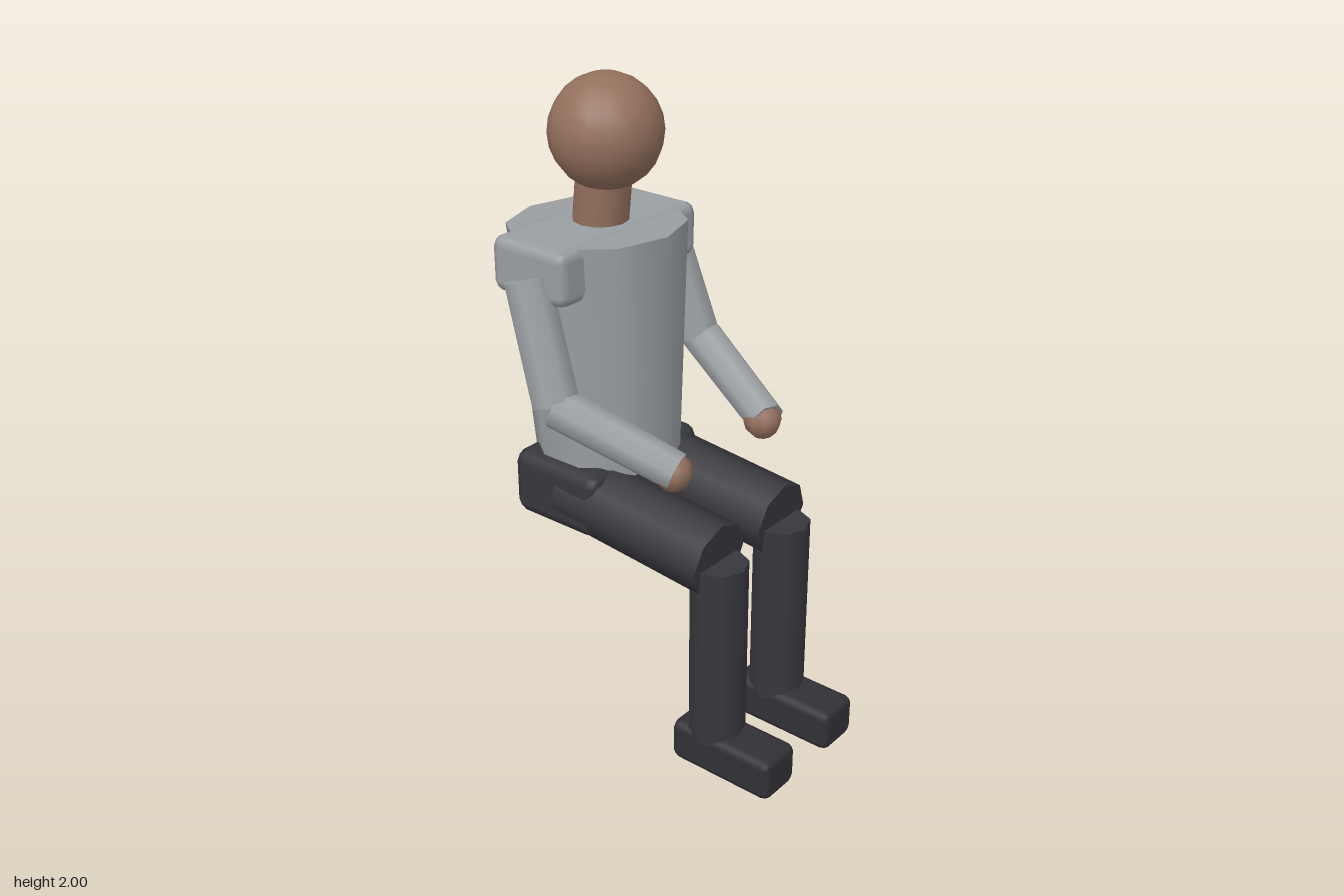
import * as THREE from 'three';
import { RoundedBoxGeometry } from 'three/addons/geometries/RoundedBoxGeometry.js';

const UP = new THREE.Vector3(0, 1, 0);

export function createModel() {
  const figure = new THREE.Group();
  figure.name = 'seatedFigure';

  const material = (name, color) => {
    const m = new THREE.MeshStandardMaterial({ color });
    m.name = name;
    return m;
  };
  const skin = material('skin', 0x94705d);
  const shirt = material('greyShirt', 0x9a9fa2);
  const trousers = material('darkTrousers', 0x38373d);
  const shoes = material('darkShoes', 0x323136);

  const add = (name, geometry, mat) => {
    const mesh = new THREE.Mesh(geometry, mat);
    mesh.name = name;
    figure.add(mesh);
    return mesh;
  };

  // Capped tapered limb running from point a to point b
  const limb = (name, a, b, ra, rb, sides, mat) => {
    const start = new THREE.Vector3(...a), end = new THREE.Vector3(...b);
    const dir = end.clone().sub(start);
    const geometry = new THREE.CylinderGeometry(rb, ra, dir.length(), sides);
    geometry.rotateY(Math.PI / 2);
    const mesh = add(name, geometry, mat);
    mesh.quaternion.setFromUnitVectors(UP, dir.normalize());
    mesh.position.copy(start.add(end).multiplyScalar(0.5));
  };

  // Box with chamfered edges
  const block = (name, size, centre, chamfer, mat) => {
    add(name, new RoundedBoxGeometry(...size, 1, chamfer), mat).position.set(...centre);
  };

  // Head, neck and trunk; the figure faces +x
  add('head', new THREE.SphereGeometry(0.167, 16, 12), skin).position.set(-0.237, 1.833, 0);
  limb('neck', [-0.268, 1.53, 0], [-0.247, 1.72, 0], 0.083, 0.083, 12, skin);
  limb('torso', [-0.25, 0.83, 0], [-0.28, 1.557, 0], 0.22, 0.265, 10, shirt);
  block('shoulders', [0.275, 0.17, 0.605], [-0.28, 1.485, 0], 0.035, shirt);
  block('pelvis', [0.33, 0.21, 0.5], [-0.255, 0.765, 0], 0.04, trousers);

  // Mirrored arms and legs
  for (const [side, s] of [['left', -1], ['right', 1]]) {
    limb(side + 'UpperArm', [-0.275, 1.47, s * 0.3], [-0.16, 1.13, s * 0.322], 0.07, 0.073, 8, shirt);
    limb(side + 'Forearm', [-0.15, 1.125, s * 0.33], [0.19, 0.982, s * 0.212], 0.064, 0.058, 8, shirt);
    add(side + 'Hand', new THREE.SphereGeometry(0.058, 8, 6), skin).position.set(0.176, 0.978, s * 0.212);
    limb(side + 'Thigh', [-0.25, 0.763, s * 0.152], [0.297, 0.71, s * 0.152], 0.115, 0.115, 8, trousers);
    limb(side + 'Shin', [0.3, 0.11, s * 0.153], [0.3, 0.703, s * 0.153], 0.086, 0.086, 8, trousers);
    block(side + 'Shoe', [0.36, 0.135, 0.148], [0.36, 0.0675, s * 0.153], 0.025, shoes);
  }
  return figure;
}
